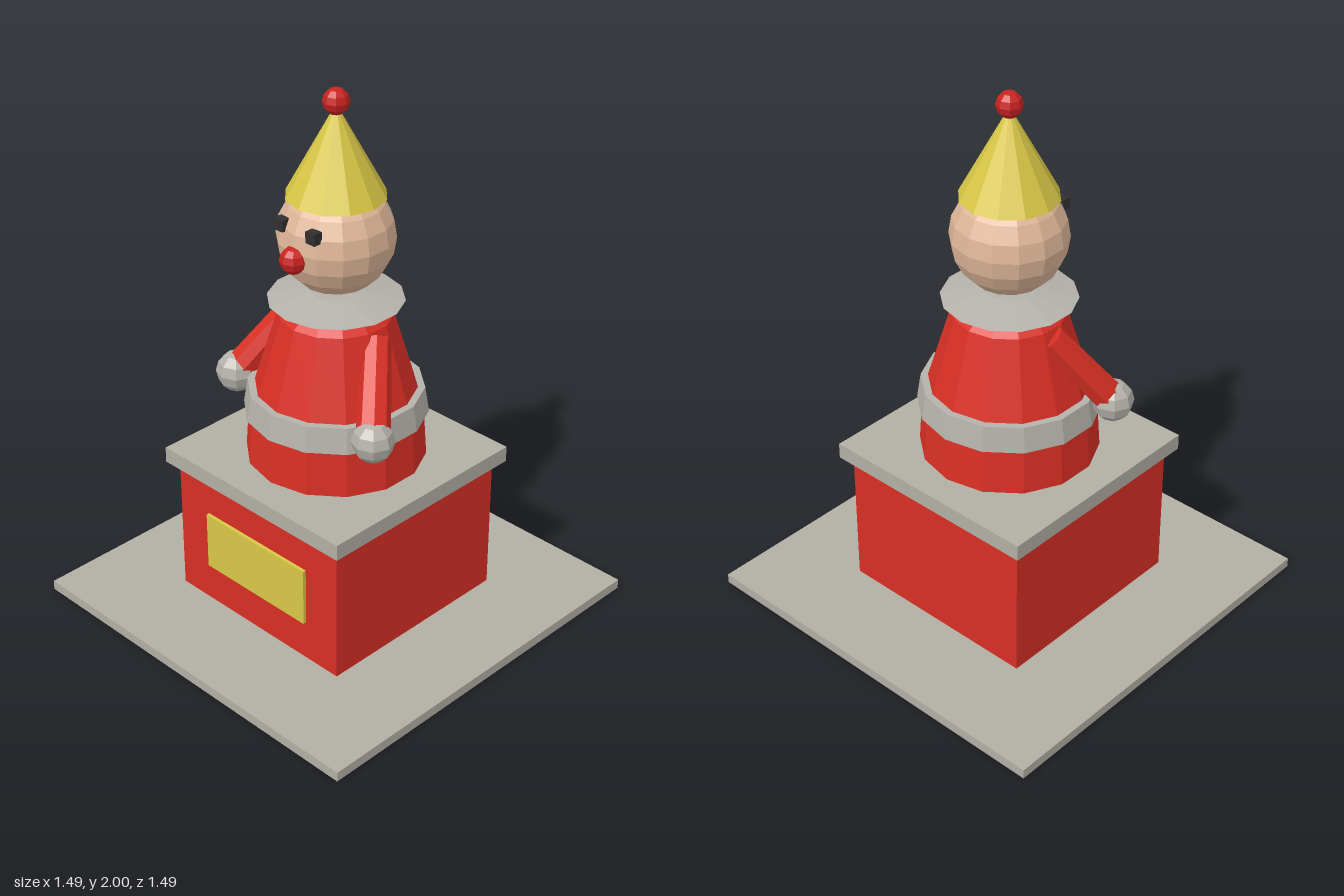
import * as THREE from 'three';

const material = (name, color) => {
  const m = new THREE.MeshStandardMaterial({ color, flatShading: true });
  m.name = name;
  return m;
};

export function createModel() {
  const red = material('red', 0xd92f24);
  const noseRed = material('deep red', 0xc8221f);
  const grey = material('stone grey', 0xb2aea4);
  const trim = material('trim grey', 0xb4b2aa);
  const yellow = material('yellow', 0xd8c746);
  const skin = material('skin', 0xdeb698);
  const dark = material('dark grey', 0x303030);

  const model = new THREE.Group();
  model.name = 'jackInTheBox';

  const add = (name, geometry, mat, x = 0, y = 0, z = 0) => {
    const mesh = new THREE.Mesh(geometry, mat);
    mesh.name = name;
    mesh.position.set(x, y, z);
    model.add(mesh);
    return mesh;
  };
  const box = (name, mat, w, d, y0, y1) =>
    add(name, new THREE.BoxGeometry(w, y1 - y0, d), mat, 0, (y0 + y1) / 2, 0);
  const lathe = (name, mat, profile, sides = 14) =>
    add(name, new THREE.LatheGeometry(profile.map(p => new THREE.Vector2(...p)), sides), mat);
  const ball = (name, mat, r, x, y, z, sides = 8, rings = 6) =>
    add(name, new THREE.SphereGeometry(r, sides, rings), mat, x, y, z);

  // Ground slab, box, lid and front plaque
  box('groundSlab', grey, 1.49, 1.49, 0, 0.037);
  box('box', red, 0.794, 0.794, 0.037, 0.565);
  box('lid', grey, 0.864, 0.864, 0.565, 0.625);
  add('plaque', new THREE.BoxGeometry(0.494, 0.222, 0.02), yellow, 0, 0.302, 0.4);

  // Body with belt and ruff
  lathe('body', red, [
    [0, 0.625], [0.323, 0.625], [0.311, 0.8], [0.288, 0.895],
    [0.202, 1.18], [0.165, 1.213], [0, 1.213],
  ]);
  lathe('belt', trim, [[0.28, 0.8], [0.329, 0.8], [0.314, 0.895], [0.27, 0.895]]);
  lathe('ruff', trim, [[0, 1.205], [0.07, 1.21], [0.24, 1.235], [0.09, 1.265], [0, 1.265]]);

  // Head and face
  ball('head', skin, 0.206, 0, 1.473, 0, 14, 10).rotation.y = Math.PI / 2;
  ball('nose', noseRed, 0.049, 0, 1.447, 0.2);
  for (const side of [-1, 1]) {
    add(side > 0 ? 'leftEye' : 'rightEye', new THREE.BoxGeometry(0.042, 0.042, 0.035),
      dark, side * 0.075, 1.549, 0.18);
  }

  // Hat with pompom
  add('hat', new THREE.ConeGeometry(0.175, 0.325, 12), yellow, 0, 1.7825, 0);
  ball('pompom', noseRed, 0.047, 0, 1.953, 0);

  // Arms run from shoulder to hand
  const up = new THREE.Vector3(0, 1, 0);
  for (const side of [-1, 1]) {
    const label = side > 0 ? 'left' : 'right';
    const shoulder = new THREE.Vector3(side * 0.188, 1.145, -0.005);
    const hand = new THREE.Vector3(side * 0.337, 0.873, 0.163);
    const along = shoulder.clone().sub(hand);
    const mid = shoulder.clone().add(hand).multiplyScalar(0.5);
    const arm = add(label + 'Arm', new THREE.CylinderGeometry(0.052, 0.06, along.length(), 8),
      red, mid.x, mid.y, mid.z);
    arm.quaternion.setFromUnitVectors(up, along.normalize());
    ball(label + 'Hand', trim, 0.076, hand.x, hand.y, hand.z);
  }

  return model;
}
